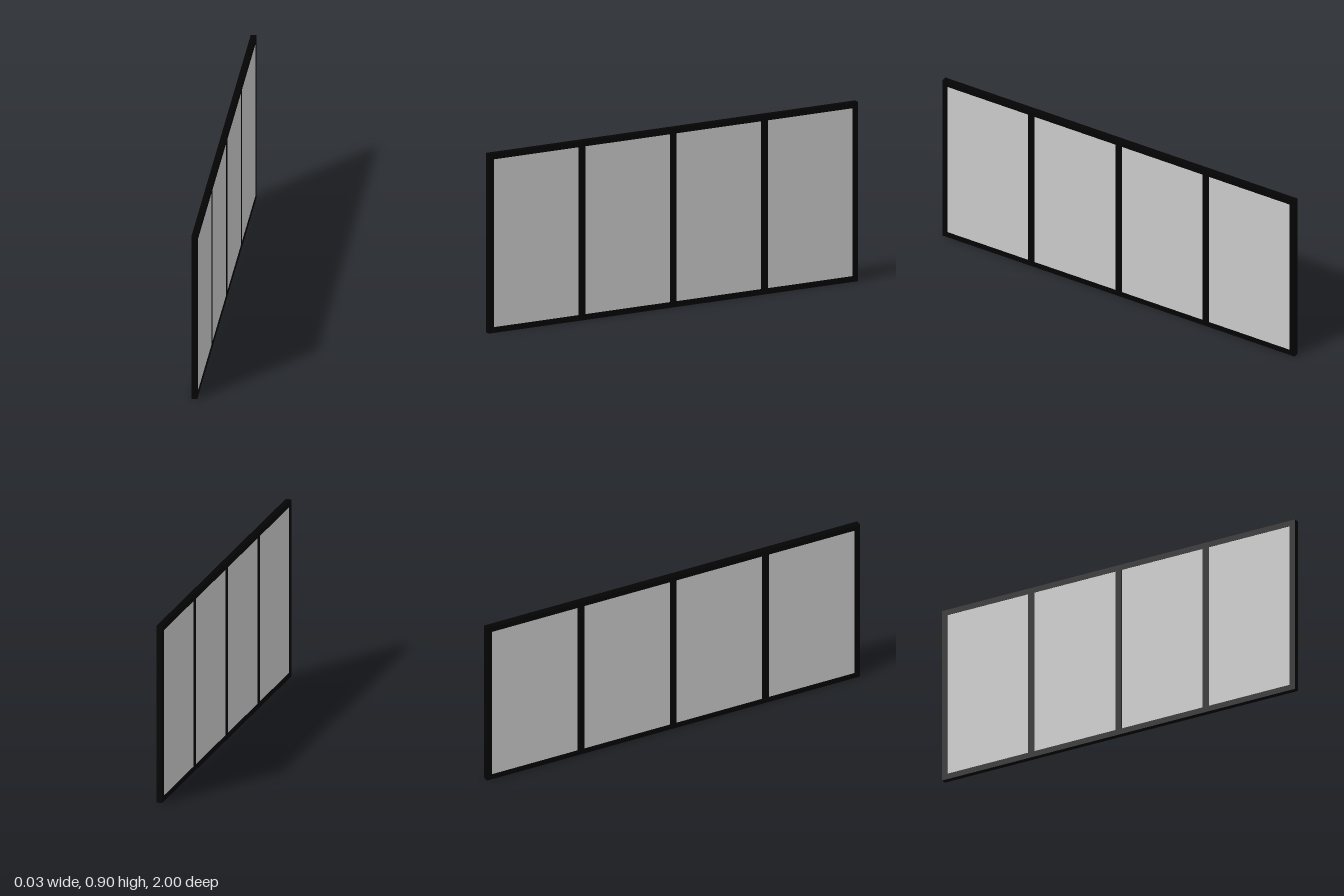
import * as THREE from 'three';

const LENGTH = 2, HEIGHT = 0.903, DEPTH = 0.028;
const EDGE = 0.029, MULLION = 0.036, BAYS = 4;

export function createModel() {
  const group = new THREE.Group();
  group.name = 'glazedPartition';
  const frameMaterial = new THREE.MeshStandardMaterial({ color: 0x040404 });
  const glassMaterial = new THREE.MeshStandardMaterial({ color: 0xc2c2c2 });

  const addBox = (name, material, depth, height, length, y, z) => {
    const mesh = new THREE.Mesh(new THREE.BoxGeometry(depth, height, length), material);
    mesh.name = name;
    mesh.position.set(0, y, z);
    group.add(mesh);
  };

  // Outer frame: full-length rails with stiles between them
  const innerHeight = HEIGHT - 2 * EDGE;
  addBox('bottomRail', frameMaterial, DEPTH, EDGE, LENGTH, EDGE / 2, 0);
  addBox('topRail', frameMaterial, DEPTH, EDGE, LENGTH, HEIGHT - EDGE / 2, 0);
  for (const [name, side] of [['frontStile', 1], ['backStile', -1]]) {
    addBox(name, frameMaterial, DEPTH, innerHeight, EDGE, HEIGHT / 2, side * (LENGTH - EDGE) / 2);
  }

  // Equal glass panes, nearly flush with the frame, separated by mullions
  const paneLength = (LENGTH - 2 * EDGE - (BAYS - 1) * MULLION) / BAYS;
  const pitch = paneLength + MULLION;
  for (let i = 0; i < BAYS; i++) {
    const z = (i - (BAYS - 1) / 2) * pitch;
    addBox(`glassPane${i + 1}`, glassMaterial, DEPTH - 0.002, innerHeight, paneLength, HEIGHT / 2, z);
    if (i < BAYS - 1) {
      addBox(`mullion${i + 1}`, frameMaterial, DEPTH, innerHeight, MULLION, HEIGHT / 2, z + pitch / 2);
    }
  }
  return group;
}
